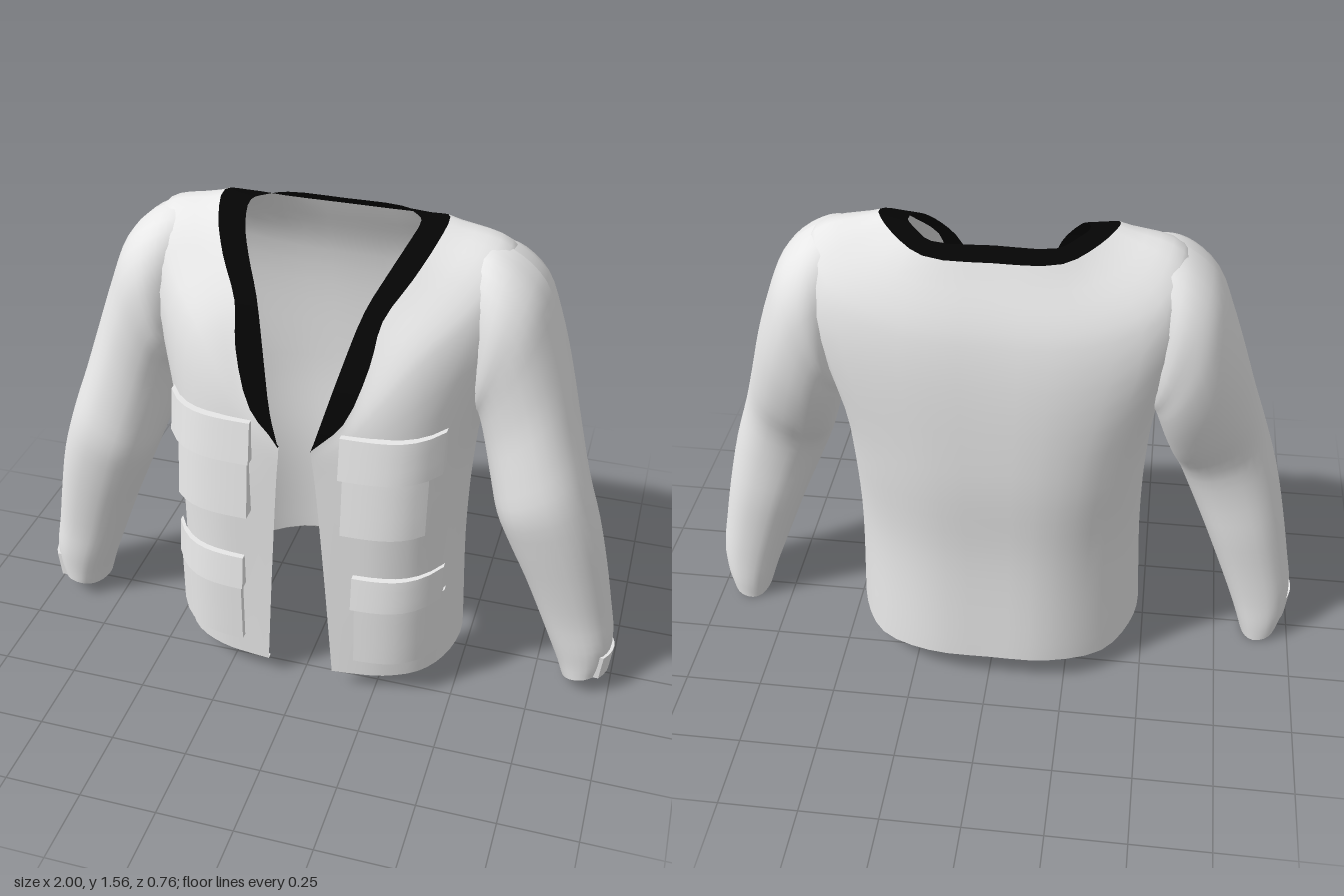
import * as THREE from 'three';

const V = (x, y, z) => new THREE.Vector3(x, y, z);

// Indexed surface through rows of points
function loft(rows) {
  const n = rows[0].length, pos = [], idx = [];
  rows.forEach(r => r.forEach(p => pos.push(p.x, p.y, p.z)));
  for (let i = 0; i < rows.length - 1; i++)
    for (let j = 0; j < n - 1; j++) {
      const a = i * n + j, b = a + n;
      idx.push(a, a + 1, b, a + 1, b + 1, b);
    }
  const g = new THREE.BufferGeometry();
  g.setAttribute('position', new THREE.Float32BufferAttribute(pos, 3));
  g.setIndex(idx);
  g.computeVertexNormals();
  return g;
}

const smooth = (pts, n) => new THREE.CatmullRomCurve3(pts).getPoints(n);

// Mirror a half row (centre back to front edge) into a full row
const fullRow = half => [
  ...half.slice(1).reverse().map(p => V(-p.x, p.y, p.z)), ...half];

// Depth of the jacket front at a given x
const frontZ = x => 0.343 - 18 * x ** 6;

export function createModel() {
  const group = new THREE.Group();
  const cloth = new THREE.MeshStandardMaterial({ color: 0xe8e8e8, side: THREE.DoubleSide });
  cloth.name = 'light grey cloth';
  const trim = new THREE.MeshStandardMaterial({ color: 0x050505, side: THREE.DoubleSide });
  trim.name = 'black trim';
  const add = (name, geo, mat = cloth) => {
    const m = new THREE.Mesh(geo, mat);
    m.name = name;
    group.add(m);
  };

  // Body rows, each from centre back round the side to the front edge
  const level = (y, xz) => xz.map(([x, z]) => V(x, y, z));
  const hem = level(0.08, [[0, -.38], [.2, -.37], [.37, -.28], [.455, -.13], [.48, .01],
    [.45, .15], [.385, .245], [.28, .3], [.18, .318], [.11, .325]]);
  hem.forEach(p => { p.y += 0.23 * Math.max(0, -p.z - 0.25); });
  const waist = level(0.5, [[0, -.36], [.2, -.35], [.36, -.27], [.445, -.14], [.465, 0],
    [.445, .16], [.375, .265], [.275, .318], [.16, .33], [.085, .335]]);
  const chest = level(0.86, [[0, -.37], [.22, -.36], [.39, -.29], [.46, -.17], [.48, -.02],
    [.445, .165], [.375, .272], [.27, .325], [.14, .34], [.06, .345]]);
  const upper = [V(0, 1.29, -.328), V(.26, 1.3, -.325), V(.5, 1.38, -.255), V(.56, 1.49, -.115),
    V(.55, 1.46, .02), V(.47, 1.36, .135), V(.35, 1.26, .25), V(.255, 1.14, .308),
    V(.145, 1.0, .338), V(.053, .93, .348)];
  const neck = [V(0, 1.51, -.23), V(.2, 1.515, -.22), V(.3, 1.55, -.155), V(.35, 1.575, -.085),
    V(.335, 1.535, .02), V(.29, 1.46, .115), V(.225, 1.36, .205), V(.205, 1.24, .268),
    V(.145, 1.07, .328), V(.05, .97, .35)];
  const rows = [hem, waist, chest, upper, neck].map(fullRow);
  const columns = rows[0].map((_, j) => smooth(rows.map(r => r[j]), 24));
  const body = columns[0].map((_, i) => smooth(columns.map(c => c[i]), 54));
  add('body', loft(body));

  // Turned-in hem edge
  add('hemLip', loft([body[0], body[0].map(p => V(p.x * 0.97, p.y + 0.012, p.z * 0.97))]));

  // Dark band around the neckline, continuing the slope of the shoulders
  const neckInner = [V(0, 1.545, -.19), V(.18, 1.545, -.185), V(.235, 1.553, -.13), V(.265, 1.555, -.08),
    V(.25, 1.525, .02), V(.215, 1.465, .1), V(.165, 1.37, .18), V(.12, 1.22, .265),
    V(.08, 1.07, .335), V(.05, .965, .355)];
  add('collarBand', loft([smooth(rows[4], 54), smooth(fullRow(neckInner), 54)]), trim);

  // Sleeve rings: outer x, y, inner x, y, front z, back z
  const rings = [
    [.42, 1.525, .46, 1.1, .07, -.2], [.5, 1.525, .47, 1.04, .125, -.245],
    [.575, 1.492, .475, 1.0, .155, -.28], [.65, 1.42, .485, .98, .158, -.285],
    [.7, 1.3, .495, .95, .158, -.28], [.75, 1.15, .515, .88, .165, -.25],
    [.8, .98, .545, .78, .19, -.19], [.85, .82, .575, .69, .21, -.12],
    [.9, .66, .62, .58, .195, -.1], [.94, .48, .68, .44, .17, -.1],
    [.97, .32, .735, .3, .15, -.095], [.99, .2, .785, .17, .145, -.095],
    [.985, .12, .815, .09, .14, -.098], [.97, .065, .835, .03, .138, -.095]];
  const ringPoints = ([ox, oy, ix, iy, zf, zb], s, scale = 1, lift = 0) => {
    const pts = [], tilt = 0.03 * THREE.MathUtils.clamp((0.3 - oy) / 0.23, 0, 1);
    const round = v => Math.sign(v) * Math.abs(v) ** 0.88 * scale;
    for (let k = 0; k <= 28; k++) {
      const a = k / 28 * Math.PI * 2, c = round(Math.cos(a)), d = round(Math.sin(a));
      pts.push(V(s * ((ox + ix) / 2 + (ox - ix) / 2 * c),
        (oy + iy) / 2 + (oy - iy) / 2 * c + tilt * d + lift,
        (zf + zb) / 2 + (zf - zb) / 2 * d));
    }
    return pts;
  };

  // Curved pad lying on the front; bulges more towards its lower edge
  const pad = (s, x0, x1, y0, y1, top, bottom) => {
    const g = new THREE.BoxGeometry(x1 - x0, y1 - y0, 1, 8, 3, 1);
    const p = g.attributes.position;
    for (let i = 0; i < p.count; i++) {
      const x = p.getX(i) + s * (x0 + x1) / 2, t = p.getY(i) / (y1 - y0) + 0.5;
      const out = p.getZ(i) > 0 ? THREE.MathUtils.lerp(bottom, top, t) : -0.015;
      p.setXYZ(i, x, y0 + t * (y1 - y0), frontZ(Math.abs(x)) + out);
    }
    g.computeVertexNormals();
    return g;
  };

  for (const [side, s] of [['left', 1], ['right', -1]]) {
    // Sleeve smoothed along its length
    const base = rings.map(r => ringPoints(r, s));
    const lines = base[0].map((_, k) => smooth(base.map(r => r[k]), 39));
    add(side + 'Sleeve', loft(lines[0].map((_, i) => lines.map(l => l[i]))));

    // Cuff opening: turned-in lip and dark lining
    const end = rings[rings.length - 1];
    const lip = ringPoints(end, s, 0.78, 0.006);
    add(side + 'CuffLip', loft([ringPoints(end, s), lip]));
    add(side + 'CuffLining', loft([lip, ringPoints(end, s, 0.65, 0.015)]), trim);

    // Cuff tab wrapped round the outer wrist
    const tab = new THREE.BoxGeometry(0.02, 0.09, 0.16, 1, 1, 6);
    const p = tab.attributes.position;
    for (let i = 0; i < p.count; i++) {
      const z = p.getZ(i), y = p.getY(i);
      p.setXYZ(i, p.getX(i) + s * (0.985 + y * 0.1 - 4 * z * z), y + 0.12 + z * 0.1, z + 0.035);
    }
    tab.computeVertexNormals();
    add(side + 'CuffTab', tab);

    // Chest and hip pockets with flaps
    add(side + 'ChestPocket', pad(s, .15, .4, .7, .92, .012, .04));
    add(side + 'ChestPocketFlap', pad(s, .14, .435, .9, 1.035, .01, .035));
    add(side + 'HipPocket', pad(s, .19, .45, .17, .41, .008, .008));
    add(side + 'HipPocketFlap', pad(s, .18, .445, .395, .51, .006, .022));
  }
  return group;
}
